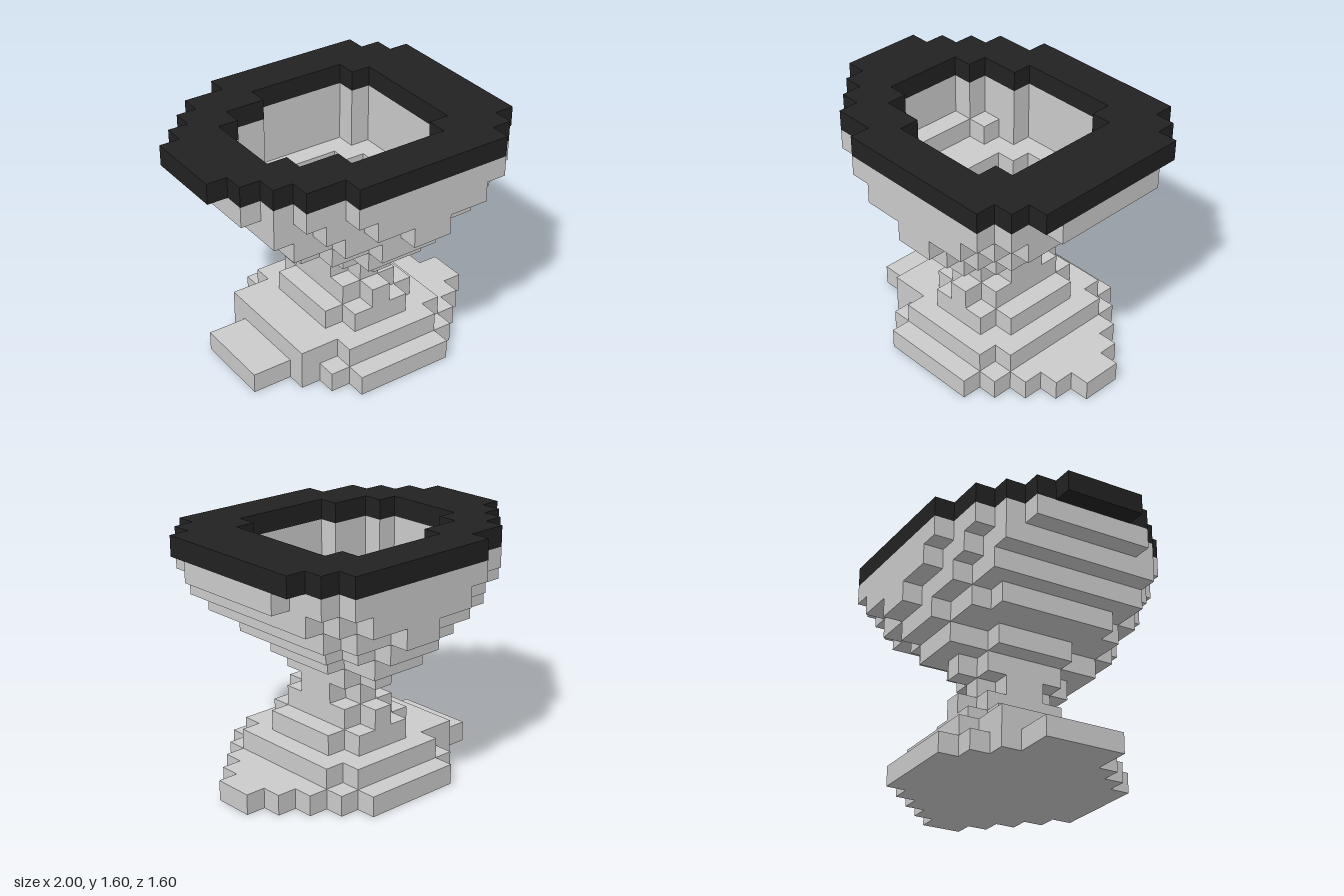
import * as THREE from 'three';

const U = 2 / 15; // size of one block

// Each layer lists [first, last] block edges along x for successive rows
// outward from the centre line; rows are mirrored to the other side.
const FULL_HOLE = [[3, 12], [3, 12], [4, 12], [6, 11]];
const FOOT = [
  { rows: [[2, 15], [2, 14], [4, 13], [5, 12], [6, 11]] },
  { rows: [[4, 12], [4, 12], [4, 12], [6, 11]] },
  { rows: [[6, 11], [6, 11], [7, 10]] },
];
const STEM = [
  { rows: [[7, 10], [7, 10], [8, 9]] },
  { rows: [[7, 10], [8, 9]] },
];
const BOWL = [
  { rows: [[7, 10], [7, 10], [8, 9]], hole: [[8, 9]] },
  { rows: [[6, 11], [6, 11], [7, 10], [7, 10]], hole: [[7, 10], [8, 9], [8, 9]] },
  { rows: [[4, 12], [4, 12], [4, 12], [5, 11], [7, 10]], hole: [[6, 11], [6, 11], [7, 10]] },
  { rows: [[3, 13], [3, 13], [3, 13], [3, 13], [5, 12], [8, 10]], hole: [[4, 12], [4, 12], [5, 12], [6, 11]] },
  { rows: [[2, 14], [2, 14], [2, 14], [2, 14], [4, 13], [6, 12]], hole: FULL_HOLE },
  { rows: [[1, 15], [1, 15], [1, 15], [2, 14], [3, 14], [5, 13]], hole: FULL_HOLE },
];
const RIM = [
  { rows: [[0, 15], [0, 15], [1, 15], [2, 15], [3, 14], [5, 13]], hole: FULL_HOLE },
];

// Stepped outline, symmetric about the x axis
function outline(rows) {
  const n = rows.length;
  const side = (which) => {
    const pts = [];
    for (let k = -n; k < n; k++) {
      const x = rows[k < 0 ? -k - 1 : k][which];
      const last = pts[pts.length - 1];
      if (last && last[0] === x) last[1] = k + 1;
      else pts.push([x, k], [x, k + 1]);
    }
    return pts;
  };
  return [...side(1), ...side(0).reverse()]
    .map(([x, z]) => new THREE.Vector2(-1 + x * U, z * U));
}

function layerMesh({ rows, hole }, level, material) {
  const shape = new THREE.Shape(outline(rows));
  if (hole) shape.holes.push(new THREE.Path(outline(hole)));
  const geometry = new THREE.ExtrudeGeometry(shape, { depth: U, bevelEnabled: false });
  geometry.rotateX(-Math.PI / 2);
  geometry.translate(0, level * U, 0);
  return new THREE.Mesh(geometry, material);
}

export function createModel() {
  const model = new THREE.Group();
  model.name = 'blockGoblet';
  const grey = new THREE.MeshStandardMaterial({ color: 0xcccccc, flatShading: true });
  const black = new THREE.MeshStandardMaterial({ color: 0x222222, flatShading: true });

  // Stack the parts from the ground up
  let level = 0;
  const parts = [['foot', FOOT, grey], ['stem', STEM, grey], ['bowl', BOWL, grey], ['rim', RIM, black]];
  for (const [name, layers, material] of parts) {
    const part = new THREE.Group();
    part.name = name;
    layers.forEach((layer, i) => {
      const mesh = layerMesh(layer, level++, material);
      mesh.name = `${name}Layer${i + 1}`;
      part.add(mesh);
    });
    model.add(part);
  }
  return model;
}
